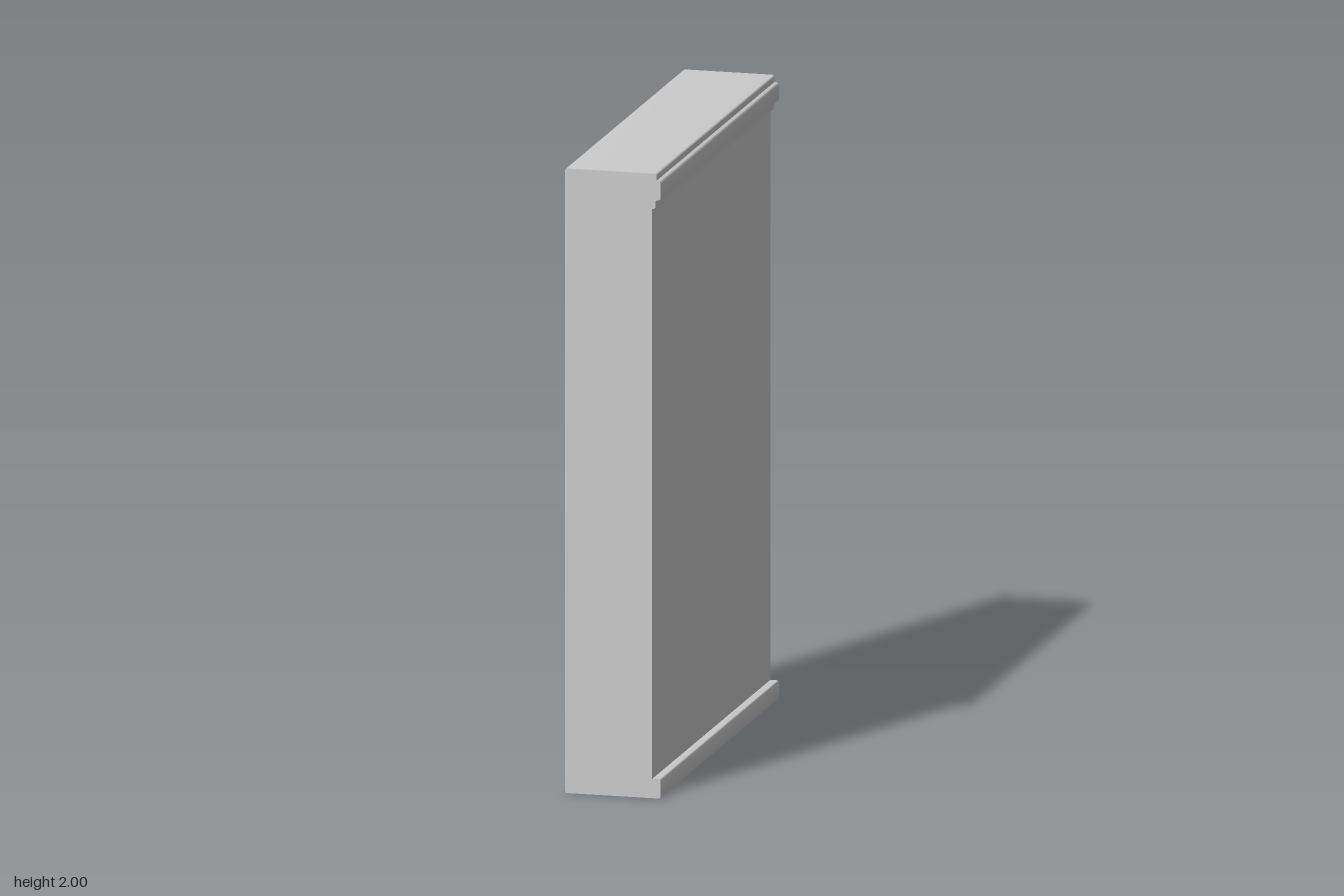
import * as THREE from 'three';
import { toCreasedNormals } from 'three/addons/utils/BufferGeometryUtils.js';

const LENGTH = 1.424;
const BACK = -0.155;
const WALL = 0.126;
const LIP = 0.153;

export function createModel() {
  const group = new THREE.Group();
  group.name = 'wallSegment';
  const material = new THREE.MeshStandardMaterial({ color: 0xcccccc });

  // Sweep an x-y profile along z; each point is [x, y, corner radius]
  function addMoulding(name, points) {
    const shape = new THREE.Shape();
    points.forEach(([x, y, r = 0], i) => {
      const p = new THREE.Vector2(x, y);
      const toward = (q) => p.clone().add(new THREE.Vector2(q[0], q[1]).sub(p).setLength(r));
      const a = toward(points.at(i - 1));
      const b = toward(points[(i + 1) % points.length]);
      if (i === 0) shape.moveTo(a.x, a.y);
      else shape.lineTo(a.x, a.y);
      if (r > 0) shape.quadraticCurveTo(x, y, b.x, b.y);
    });
    shape.closePath();
    const geometry = new THREE.ExtrudeGeometry(shape, {
      depth: LENGTH, bevelEnabled: false, curveSegments: 4,
    });
    geometry.translate(0, 0, -LENGTH / 2);
    const mesh = new THREE.Mesh(toCreasedNormals(geometry, 0.6), material);
    mesh.name = name;
    group.add(mesh);
  }

  // Base with a small projecting lip
  addMoulding('baseMoulding', [
    [BACK, 0, 0.006], [LIP, 0, 0.008], [LIP, 0.062, 0.008], [WALL, 0.062], [BACK, 0.062],
  ]);

  // Plain wall body
  addMoulding('wallPanel', [
    [BACK, 0.062], [WALL, 0.062], [WALL, 1.886], [BACK, 1.886],
  ]);

  // Stepped cornice
  addMoulding('cornice', [
    [BACK, 1.886], [WALL, 1.886], [0.136, 1.889, 0.002], [0.136, 1.913],
    [LIP, 1.917, 0.006], [LIP, 1.975, 0.008], [0.14, 1.978],
    [0.14, 2, 0.006], [BACK, 2, 0.006],
  ]);

  return group;
}
